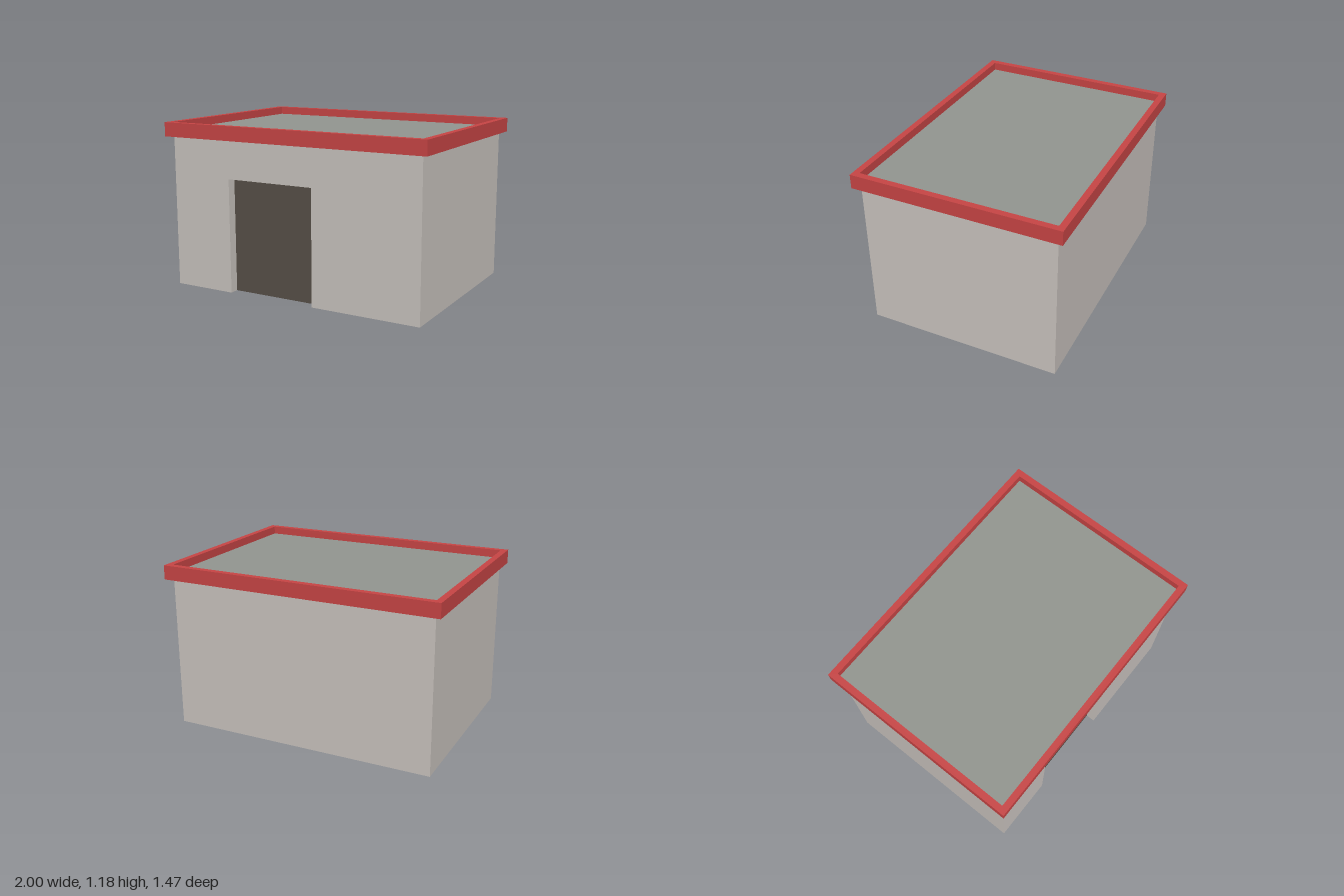
import * as THREE from 'three';

const HALF_X = 0.955, HALF_Z = 0.69;    // wall footprint
const WALL_H = 1.08, TOP = 1.18;        // wall top, parapet top
const RIM = 0.045;                      // parapet overhang
const RECESS = 0.07;                    // doorway depth
const DOOR = { left: -0.49, right: 0.17, height: 0.81 };

function material(name, color) {
  const m = new THREE.MeshStandardMaterial({ color });
  m.name = name;
  return m;
}

function rectangle(Type, hx, hy) {
  return new Type([[-hx, -hy], [hx, -hy], [hx, hy], [-hx, hy]].map(p => new THREE.Vector2(...p)));
}

export function createModel() {
  const wall = material('wall plaster', 0xc9c3be);
  const red = material('red trim', 0xc84545);
  const grey = material('roof grey', 0x939690);
  const dark = material('door brown', 0x575048);

  const group = new THREE.Group();
  group.name = 'building';

  function add(name, geometry, mat, x, y, z) {
    const mesh = new THREE.Mesh(geometry, mat);
    mesh.name = name;
    mesh.position.set(x, y, z);
    group.add(mesh);
    return mesh;
  }

  // Main body, behind the front wall
  add('body', new THREE.BoxGeometry(HALF_X * 2, WALL_H, HALF_Z * 2 - RECESS), wall,
    0, WALL_H / 2, -RECESS / 2);

  // Front wall with the doorway cut out down to the ground
  const front = new THREE.Shape([
    [-HALF_X, 0], [DOOR.left, 0], [DOOR.left, DOOR.height], [DOOR.right, DOOR.height],
    [DOOR.right, 0], [HALF_X, 0], [HALF_X, WALL_H], [-HALF_X, WALL_H],
  ].map(p => new THREE.Vector2(...p)));
  add('frontWall', new THREE.ExtrudeGeometry(front, { depth: RECESS, bevelEnabled: false }), wall,
    0, 0, HALF_Z - RECESS);

  // Door panel at the back of the recess
  add('door', new THREE.BoxGeometry(DOOR.right - DOOR.left, DOOR.height, 0.004), dark,
    (DOOR.left + DOOR.right) / 2, DOOR.height / 2, HALF_Z - RECESS + 0.002);

  // Flat roof, sunk below the parapet
  const roofTop = 1.123;
  add('roof', new THREE.BoxGeometry(HALF_X * 2, roofTop - WALL_H, HALF_Z * 2), grey,
    0, (roofTop + WALL_H) / 2, 0);

  // Overhanging parapet ring
  const ring = rectangle(THREE.Shape, HALF_X + RIM, HALF_Z + RIM);
  ring.holes.push(rectangle(THREE.Path, HALF_X, HALF_Z));
  const parapet = new THREE.ExtrudeGeometry(ring, { depth: TOP - WALL_H, bevelEnabled: false });
  parapet.rotateX(-Math.PI / 2);
  add('parapet', parapet, red, 0, WALL_H, 0);

  return group;
}
